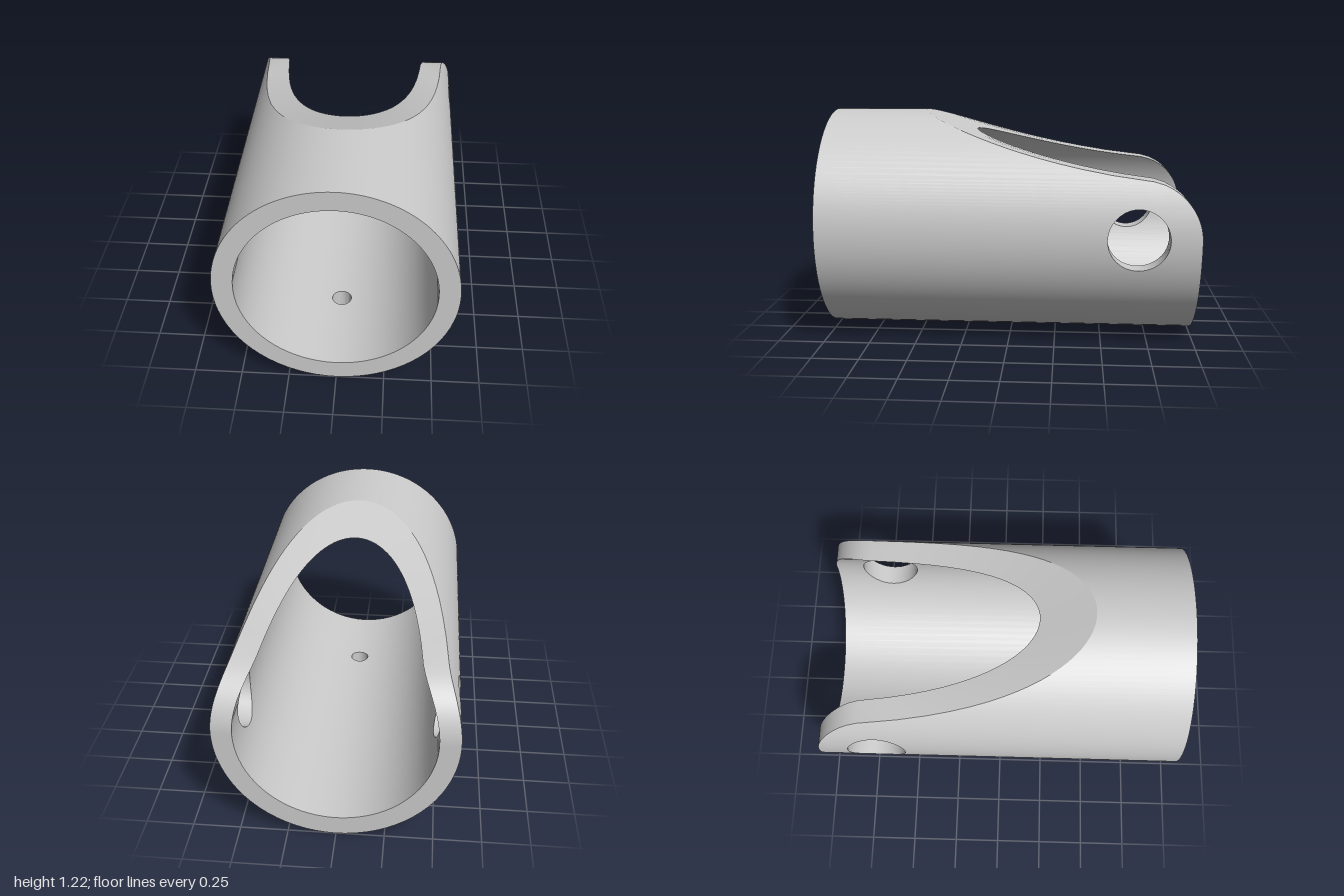
import * as THREE from 'three';
import { toCreasedNormals } from 'three/addons/utils/BufferGeometryUtils.js';

const OUTER = 0.612, INNER = 0.505, CY = 0.613;  // tube radii and axis height
const PIN = { r: 0.16, z: -0.68 };               // cross hole through both ears
const DRAIN = { r: 0.053, z: 0.52 };             // small hole in the floor
const EAR = { r: 0.3, z: -0.7 };                 // rounding of the ear ends
const KINK = 0.9075;                             // height where rounding meets the long scoop

// Rear end of the wall at height y: square, then rounded ear, then the scoop
function rearZ(y) {
  if (y <= CY) return -1;
  if (y < KINK) return EAR.z - Math.sqrt(EAR.r ** 2 - (y - CY) ** 2);
  return (-0.287 + Math.sqrt(0.287 ** 2 - 0.48 * (1.056 - y))) / 0.24;
}

// Lengthwise lines of one half wall, from the bottom (phi = 0) to the top (phi = PI)
function columns(r) {
  const list = [];
  const phiAt = (y) => Math.acos((CY - y) / r);
  const add = (n, phiOf, section, hole) => {
    for (let i = 0; i <= n; i++) {
      const t = i / n, phi = phiOf(t);
      const col = { phi, section, rear: rearZ(CY - r * Math.cos(phi)), front: 1 };
      if (hole) {
        const d = section === 'drain' ? r * Math.sin(phi) : r * Math.cos(phi);
        const half = Math.sqrt(Math.max(0, hole.r ** 2 - d * d));
        col.lo = hole.z - half;
        col.hi = hole.z + half;
      }
      list.push(col);
    }
  };
  const lerp = THREE.MathUtils.lerp;
  const drainEnd = Math.asin(DRAIN.r / r);
  const pinLow = phiAt(CY - PIN.r), kink = phiAt(KINK);
  add(8, (t) => Math.asin((DRAIN.r / r) * Math.sin(t * Math.PI / 2)), 'drain', DRAIN);
  add(14, (t) => lerp(drainEnd, pinLow, t), 'floor');
  add(24, (t) => phiAt(CY - PIN.r * Math.cos(t * Math.PI)), 'pin', PIN);
  add(8, (t) => phiAt(lerp(CY + PIN.r, KINK, t)), 'ear');
  add(20, (t) => lerp(kink, Math.PI, t), 'scoop');
  return list;
}

const point = (r, phi, z, side) => [side * r * Math.sin(phi), CY - r * Math.cos(phi), z];

function quad(out, a, b, c, d, flip) {
  const order = flip ? [a, c, b, a, d, c] : [a, b, c, a, c, d];
  for (const p of order) out.push(...p);
}

function toGeometry(positions) {
  const g = new THREE.BufferGeometry();
  g.setAttribute('position', new THREE.Float32BufferAttribute(positions, 3));
  g.computeVertexNormals();
  return g;
}

// Curved wall with the holes left open; sign = 1 faces out, -1 faces in
function wall(r, sign) {
  const out = [], cols = columns(r);
  for (const side of [1, -1]) {
    for (let i = 0; i + 1 < cols.length; i++) {
      const a = cols[i], b = cols[i + 1];
      if (a.section !== b.section) continue;
      const spans = a.lo === undefined ? [['rear', 'front']] : [['rear', 'lo'], ['hi', 'front']];
      for (const [s, e] of spans) {
        quad(out, point(r, a.phi, a[s], side), point(r, b.phi, b[s], side),
          point(r, b.phi, b[e], side), point(r, a.phi, a[e], side), side * sign < 0);
      }
    }
  }
  const g = toGeometry(out), p = g.attributes.position;
  for (let i = 0; i < p.count; i++) {
    g.attributes.normal.setXYZ(i, sign * p.getX(i) / r, sign * (p.getY(i) - CY) / r, 0);
  }
  return g;
}

// Wall-thickness faces joining the inner and outer walls along the given edges
function rim(edges, section) {
  const out = [], o = columns(OUTER), n = columns(INNER);
  for (const side of [1, -1]) {
    for (const [edge, flip] of edges) {
      for (let i = 0; i + 1 < o.length; i++) {
        if (o[i].section !== o[i + 1].section) continue;
        if (section && o[i].section !== section) continue;
        quad(out, point(INNER, n[i].phi, n[i][edge], side), point(OUTER, o[i].phi, o[i][edge], side),
          point(OUTER, o[i + 1].phi, o[i + 1][edge], side), point(INNER, n[i + 1].phi, n[i + 1][edge], side),
          (side < 0) !== flip);
      }
    }
  }
  return toCreasedNormals(toGeometry(out), 0.5);
}

export function createModel() {
  const group = new THREE.Group();
  group.name = 'slottedTube';
  const material = new THREE.MeshStandardMaterial({ color: 0xcccccc });
  const add = (name, geometry) => {
    const mesh = new THREE.Mesh(geometry, material);
    mesh.name = name;
    group.add(mesh);
  };
  const holeEdges = [['lo', false], ['hi', true]];
  add('outerWall', wall(OUTER, 1));
  add('innerWall', wall(INNER, -1));
  add('frontRim', rim([['front', false]]));
  add('scoopedRearRim', rim([['rear', true]]));
  add('pinHoles', rim(holeEdges, 'pin'));
  add('drainHole', rim(holeEdges, 'drain'));
  return group;
}
